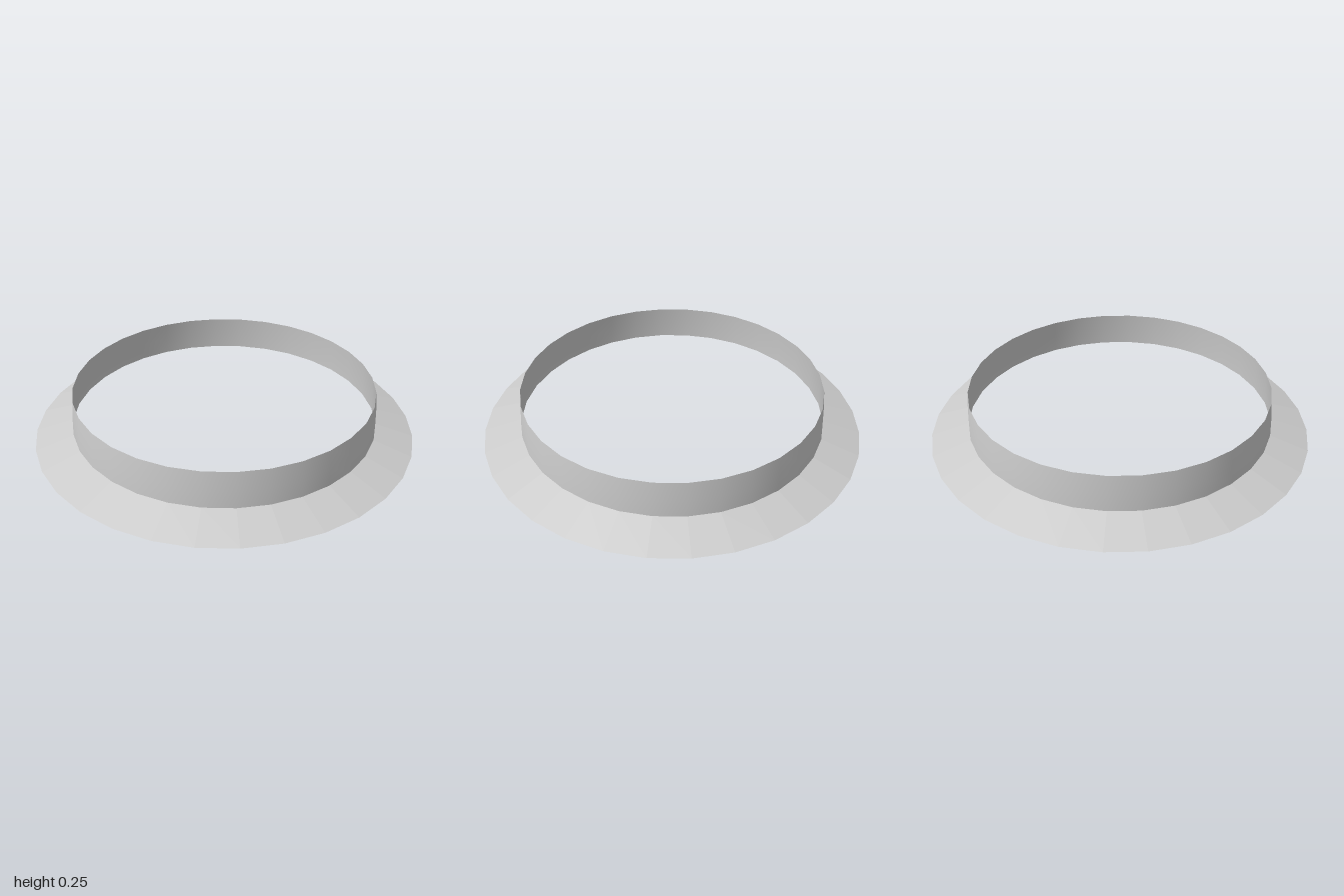
import * as THREE from 'three';

const SIDES = 32;

// Open ring swept from a [radius, height] profile, listed bottom to top
function ring(name, profile, flatShading) {
  const points = profile.map(([r, y]) => new THREE.Vector2(r, y));
  const material = new THREE.MeshStandardMaterial({
    color: 0xcccccc, side: THREE.DoubleSide, flatShading,
  });
  const mesh = new THREE.Mesh(new THREE.LatheGeometry(points, SIDES), material);
  mesh.name = name;
  return mesh;
}

export function createModel() {
  const group = new THREE.Group();
  group.name = 'flangedCollar';
  // Sloping skirt resting on the ground
  group.add(ring('flange', [[1, 0], [0.802, 0.06]], true));
  // Thin upright wall, leaning slightly inward
  group.add(ring('collarWall', [[0.802, 0.06], [0.798, 0.15], [0.788, 0.25]], false));
  return group;
}
